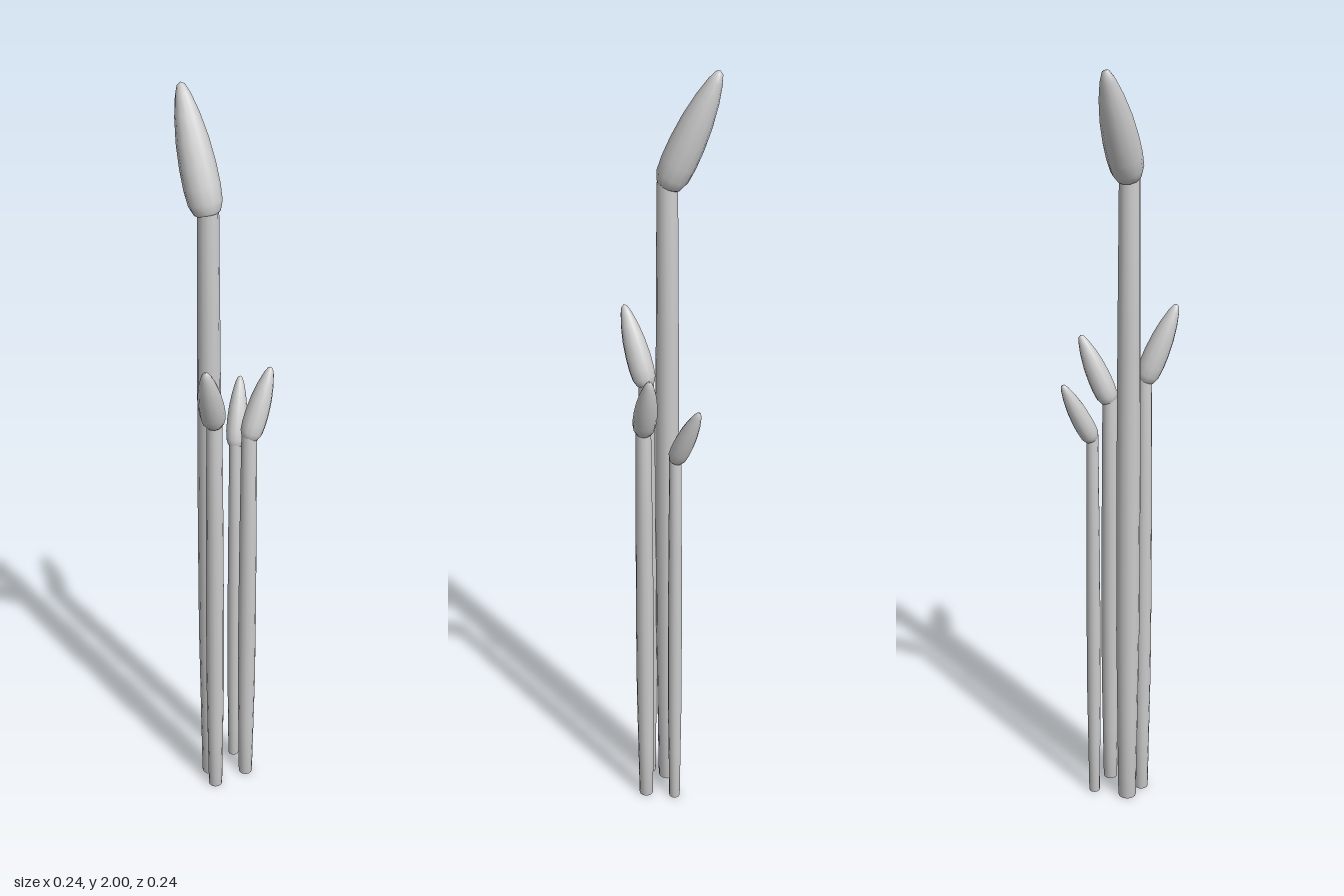
import * as THREE from 'three';

const material = new THREE.MeshStandardMaterial({ color: 0xcccccc });
const SIDES = 12;

// Profiles as [radius factor, height fraction], bottom to top
const STEM = [[0, 0], [0.8, 0], [0.9, 0.15], [1, 0.3], [1, 0.5], [0.93, 0.75], [0.82, 1], [0, 1]];
const HEAD = [[0, 0], [0.5, 0.004], [0.72, 0.025], [0.93, 0.1], [1, 0.22], [0.99, 0.38], [0.89, 0.57],
  [0.68, 0.76], [0.42, 0.91], [0.22, 0.98], [0, 1]];

function turned(name, profile, radius, length) {
  const points = profile.map(([r, h]) => new THREE.Vector2(r * radius, h * length));
  const mesh = new THREE.Mesh(new THREE.LatheGeometry(points, SIDES), material);
  mesh.name = name;
  return mesh;
}

// A stalk: upright, slightly swollen stem with a leaning pointed bud on top
function createStalk({ name, base, tip, stemRadius, headRadius }) {
  const stalk = new THREE.Group();
  stalk.name = name;
  const [x, y, z] = base;

  const stem = turned('stem', STEM, stemRadius, y + 0.012);
  stem.position.set(x, 0, z);

  const axis = new THREE.Vector3(...tip).sub(new THREE.Vector3(...base));
  const head = turned('bud', HEAD, headRadius, axis.length());
  head.position.set(x, y, z);
  head.quaternion.setFromUnitVectors(new THREE.Vector3(0, 1, 0), axis.normalize());

  stalk.add(stem, head);
  return stalk;
}

export function createModel() {
  const model = new THREE.Group();
  model.name = 'stalkCluster';
  const stalks = [
    { name: 'tallStalk', base: [-0.038, 1.727, 0.004], tip: [-0.038, 2, -0.113], stemRadius: 0.03, headRadius: 0.042 },
    { name: 'frontRightStalk', base: [-0.054, 1.208, 0.056], tip: [-0.111, 1.4, 0.113], stemRadius: 0.023, headRadius: 0.031 },
    { name: 'frontLeftStalk', base: [0.042, 1.132, 0.058], tip: [0.113, 1.305, 0.038], stemRadius: 0.023, headRadius: 0.029 },
    { name: 'backLeftStalk', base: [0.05, 1.06, -0.02], tip: [0.099, 1.22, -0.079], stemRadius: 0.018, headRadius: 0.025 },
  ];
  stalks.forEach((s) => model.add(createStalk(s)));
  return model;
}
